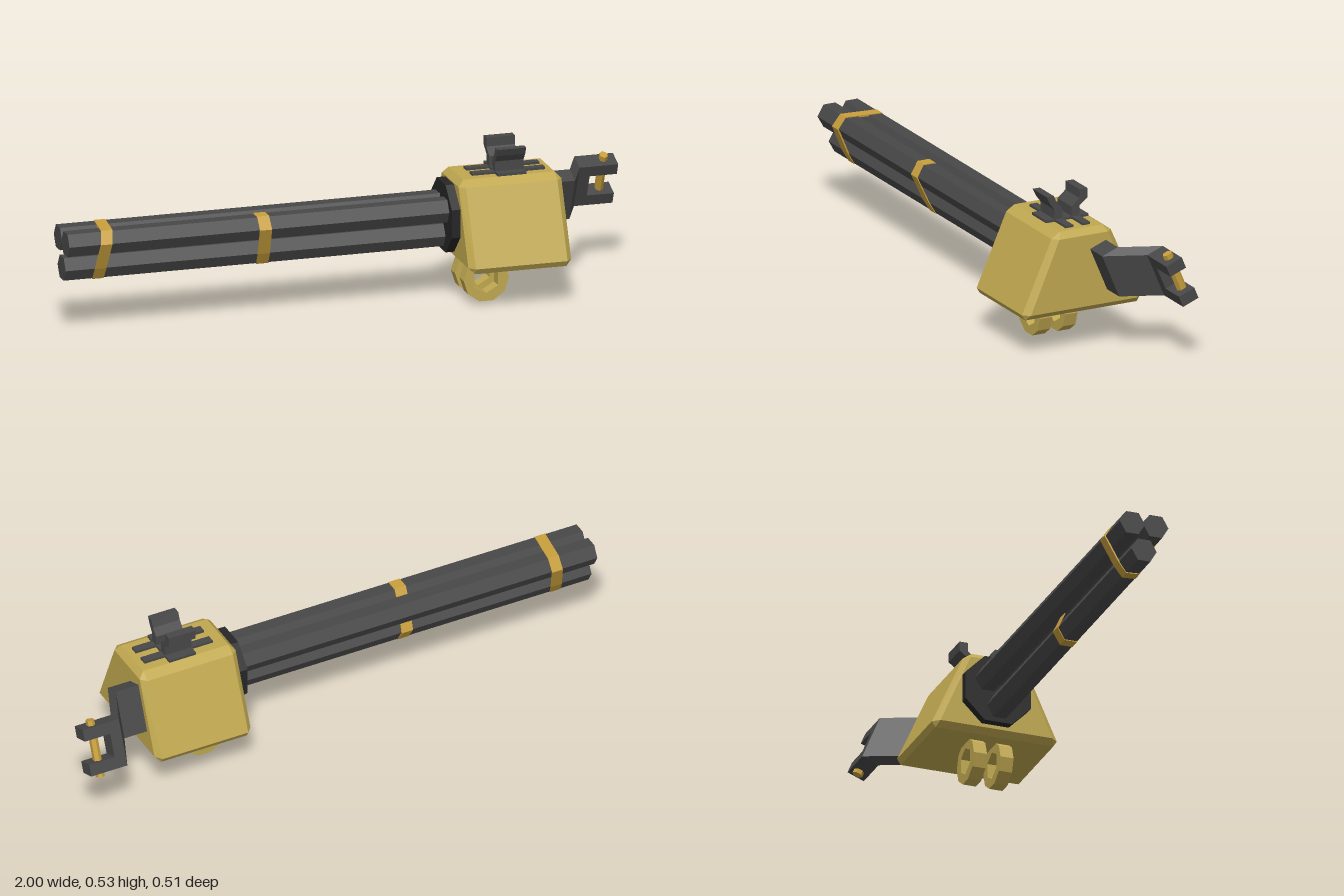
import * as THREE from 'three';
import { ConvexGeometry } from 'three/addons/geometries/ConvexGeometry.js';

const mat = (color) => new THREE.MeshStandardMaterial({ color, flatShading: true });
const V = (x, y, z) => new THREE.Vector3(x, y, z);

// Closed outline of [z, y] points extruded along x
function extrudeX(points, x0, x1, hole) {
  const shape = new THREE.Shape(points.map(([z, y]) => new THREE.Vector2(-z, y)));
  if (hole) shape.holes.push(new THREE.Path(hole.map(([z, y]) => new THREE.Vector2(-z, y))));
  const geo = new THREE.ExtrudeGeometry(shape, { depth: x1 - x0, bevelEnabled: false });
  return geo.rotateY(Math.PI / 2).translate(x0, 0, 0);
}

// Regular polygon points
const polygon = (n, r, start) => Array.from({ length: n }, (_, i) => {
  const a = start + (i / n) * Math.PI * 2;
  return new THREE.Vector2(Math.cos(a) * r, Math.sin(a) * r);
});

export function createModel() {
  const model = new THREE.Group();
  const gold = mat(0xc0a850);
  const brass = mat(0xc89f3c);
  const dark = mat(0x484848);
  const black = mat(0x262626);

  function add(name, geo, material) {
    const mesh = new THREE.Mesh(geo, material);
    mesh.name = name;
    model.add(mesh);
    return mesh;
  }

  // Bevelled wedge-shaped housing
  const bx = 0.54, bz = 0.031, corners = [];
  for (const sx of [-1, 1]) {
    for (const sz of [-1, 1]) {
      for (const [dx, y, dz] of [
        [0.18, 0.16, 0.2], [0.18, 0.411, 0.092],
        [0.16, 0.16, 0.2235], [0.16, 0.411, 0.112],
        [0.16, 0.14, 0.211], [0.16, 0.432, 0.08],
      ]) corners.push(V(bx + sx * dx, y, bz + sz * dz));
    }
  }
  add('housing', new ConvexGeometry(corners), gold);

  // Collar where the barrels enter the housing
  const collar = new THREE.CylinderGeometry(0.127, 0.127, 0.04, 8);
  collar.rotateY(Math.PI / 8).rotateZ(Math.PI / 2).translate(0.35, 0.29, 0.026);
  add('barrelCollar', collar, black);

  // Three six-sided barrels
  for (const [y, z] of [[0.322, -0.012], [0.322, 0.072], [0.228, 0.03]]) {
    const barrel = new THREE.CylinderGeometry(0.045, 0.045, 1.37, 6);
    add('barrel', barrel.rotateZ(Math.PI / 2).translate(-0.315, y, z), dark);
  }

  // Straps round the barrels, sheared so they sit askew
  function strap(name, outline, x, width, perY, perZ) {
    const cz = outline.reduce((s, p) => s + p[0], 0) / outline.length;
    const cy = outline.reduce((s, p) => s + p[1], 0) / outline.length;
    const inner = outline.map(([z, y]) => [cz + (z - cz) * 0.92, cy + (y - cy) * 0.92]);
    const geo = extrudeX(outline, x - width / 2, x + width / 2, inner);
    const p = geo.attributes.position;
    for (let i = 0; i < p.count; i++) {
      p.setX(i, p.getX(i) + perY * (p.getY(i) - cy) + perZ * (p.getZ(i) - cz));
    }
    geo.computeVertexNormals();
    add(name, geo, brass);
  }
  const lower = [[0.0945, 0.364], [0.121, 0.322], [0.079, 0.228], [0.0525, 0.186], [0.0075, 0.186], [-0.019, 0.228]];
  strap('muzzleStrap', [...lower, [-0.061, 0.322], [-0.0345, 0.364]], -0.866, 0.04, 0.13, -0.12);
  strap('middleStrap', [...lower, [0.023, 0.322], [0.0495, 0.364]], -0.31, 0.042, -0.06, 0);

  // Two carrying rings under the housing
  for (const z of [-0.04, 0.055]) {
    const ring = new THREE.Shape(polygon(10, 0.079, 0));
    ring.holes.push(new THREE.Path(polygon(6, 0.048, Math.PI / 2)));
    const geo = new THREE.ExtrudeGeometry(ring, { depth: 0.047, bevelEnabled: false });
    add('carryRing', geo.translate(0.464, 0.075, z), gold);
  }

  // Sight mount on top
  add('sightPlate', new THREE.BoxGeometry(0.1, 0.012, 0.16).translate(0.552, 0.435, 0.031), dark);
  for (const z of [-0.001, 0.063]) {
    add('sightRail', new THREE.BoxGeometry(0.256, 0.012, 0.029).translate(0.55, 0.434, z), dark);
  }
  add('frontSightProng', extrudeX([
    [0.079, 0.43], [0.079, 0.475], [0.096, 0.498], [0.108, 0.523],
    [0.081, 0.523], [0.07, 0.498], [0.048, 0.475], [0.048, 0.43],
  ].reverse(), 0.502, 0.602), dark);
  add('rearSightProng', extrudeX([
    [0.014, 0.43], [0.014, 0.475], [-0.016, 0.5], [-0.016, 0.531],
    [-0.046, 0.531], [-0.046, 0.498], [-0.016, 0.475], [-0.016, 0.43],
  ], 0.502, 0.602), dark);

  // Cranked grip bracket: a tilted rectangle, cut between heights t0 and t1
  const section = (x, shift, t0 = 0, t1 = 1) => [t0, t1].flatMap((t) => [
    V(x, 0.208 + 0.152 * t, -0.057 + 0.064 * t + shift),
    V(x, 0.231 + 0.152 * t, -0.115 + 0.063 * t + shift),
  ]);
  const offset = -0.138;
  const piece = (name, a, b) => add(name, new ConvexGeometry([...a, ...b]), dark);
  piece('bracketArm', section(0.7, 0), section(0.805, 0));
  piece('bracketCrank', section(0.805, 0), section(0.865, offset));
  piece('bracketBase', section(0.865, offset), section(0.905, offset));
  piece('lowerFork', section(0.905, offset, 0, 0.25), section(1, offset, 0, 0.25));
  piece('upperFork', section(0.905, offset, 0.75, 1), section(1, offset, 0.75, 1));

  // Pin through the fork
  const pin = new THREE.CylinderGeometry(0.018, 0.018, 0.2, 6);
  pin.scale(0.8, 1, 1).rotateX(0.397).translate(0.957, 0.298, -0.196);
  add('forkPin', pin, brass);

  return model;
}
